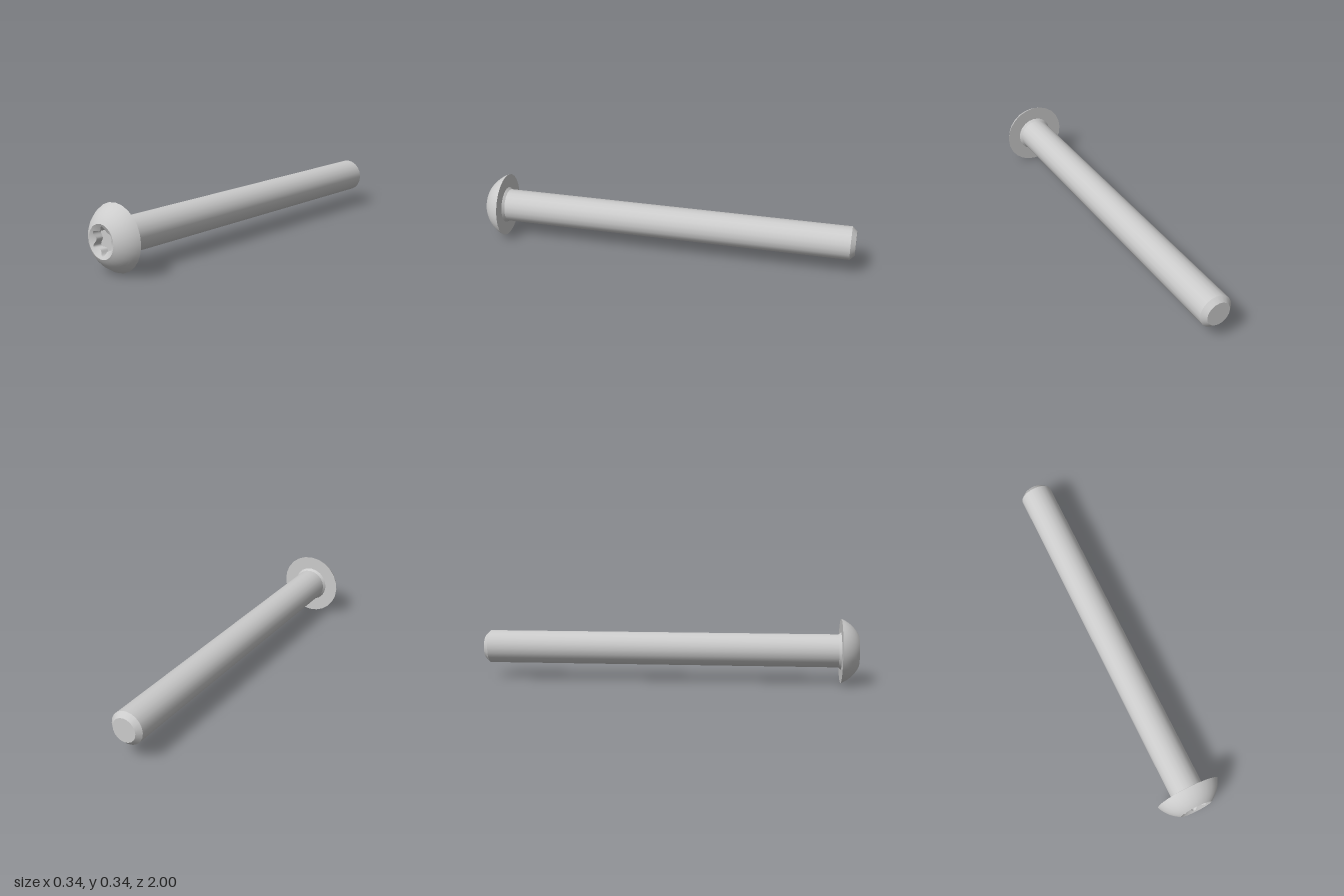
import * as THREE from 'three';

const AXIS_Y = 0.17;      // height of the screw axis
const HEAD_R = 0.17, RIM_R = 0.085, SHANK_R = 0.088, HEAD_Z = 0.908;

export function createModel() {
  const model = new THREE.Group();
  const material = new THREE.MeshStandardMaterial({ color: 0xcccccc });

  const add = (name, geometry) => {
    const mesh = new THREE.Mesh(geometry, material);
    mesh.name = name;
    mesh.position.y = AXIS_Y;
    model.add(mesh);
  };

  // Revolve a [radius, z] profile, running from back to front, about the z axis
  const revolve = (name, profile, sides) => {
    const points = profile.map(([r, z]) => new THREE.Vector2(r, z));
    add(name, new THREE.LatheGeometry(points, sides).rotateX(Math.PI / 2));
  };

  // Band between two closed loops, each a function angle -> [radius, z]
  const band = (name, outer, inner, n = 72) => {
    const positions = [], index = [];
    for (let i = 0; i < n; i++) {
      const a = (i / n) * Math.PI * 2;
      for (const loop of [outer, inner]) {
        const [r, z] = loop(a);
        positions.push(Math.sin(a) * r, Math.cos(a) * r, z);
      }
      const p = 2 * i, q = 2 * ((i + 1) % n);
      index.push(p, p + 1, q, q, p + 1, q + 1);
    }
    const g = new THREE.BufferGeometry();
    g.setAttribute('position', new THREE.Float32BufferAttribute(positions, 3));
    g.setIndex(index);
    g.computeVertexNormals();
    add(name, g);
  };

  // Shank with chamfered tip and a small collar under the head
  revolve('tipFace', [[0, -1], [0.064, -1]], 20);
  revolve('tipChamfer', [[0.064, -1], [SHANK_R, -0.975]], 20);
  revolve('shank', [[SHANK_R, -0.975], [SHANK_R, HEAD_Z]], 20);
  revolve('collar', [[SHANK_R, 0.895], [0.098, HEAD_Z]], 20);

  // Button head: flat underside and a dome that is an arc about a point on the axis
  revolve('headUnderside', [[SHANK_R, HEAD_Z], [HEAD_R, HEAD_Z]], 24);
  const centreZ = (1 + HEAD_Z - (HEAD_R ** 2 - RIM_R ** 2) / (1 - HEAD_Z)) / 2;
  const arcR = Math.hypot(HEAD_R, HEAD_Z - centreZ);
  const start = Math.atan2(HEAD_Z - centreZ, HEAD_R);
  const end = Math.atan2(1 - centreZ, RIM_R);
  const dome = [];
  for (let i = 0; i <= 10; i++) {
    const a = start + (end - start) * i / 10;
    dome.push([Math.cos(a) * arcR, centreZ + Math.sin(a) * arcR]);
  }
  revolve('headDome', dome, 24);

  // Six-lobed drive recess: conical lead-in, lobed wall and floor
  const floorZ = 0.945;
  const lobe = (a) => 0.051 + 0.021 * Math.pow((1 + Math.cos(6 * a)) / 2, 1.3);
  const rim = () => [RIM_R, 1];
  const mouth = (a) => [lobe(a), 1 - (RIM_R - lobe(a)) * 0.5];
  const base = (a) => [lobe(a), floorZ];
  band('recessLeadIn', rim, mouth);
  band('recessWall', mouth, base);
  band('recessFloor', base, () => [0, floorZ]);

  return model;
}
